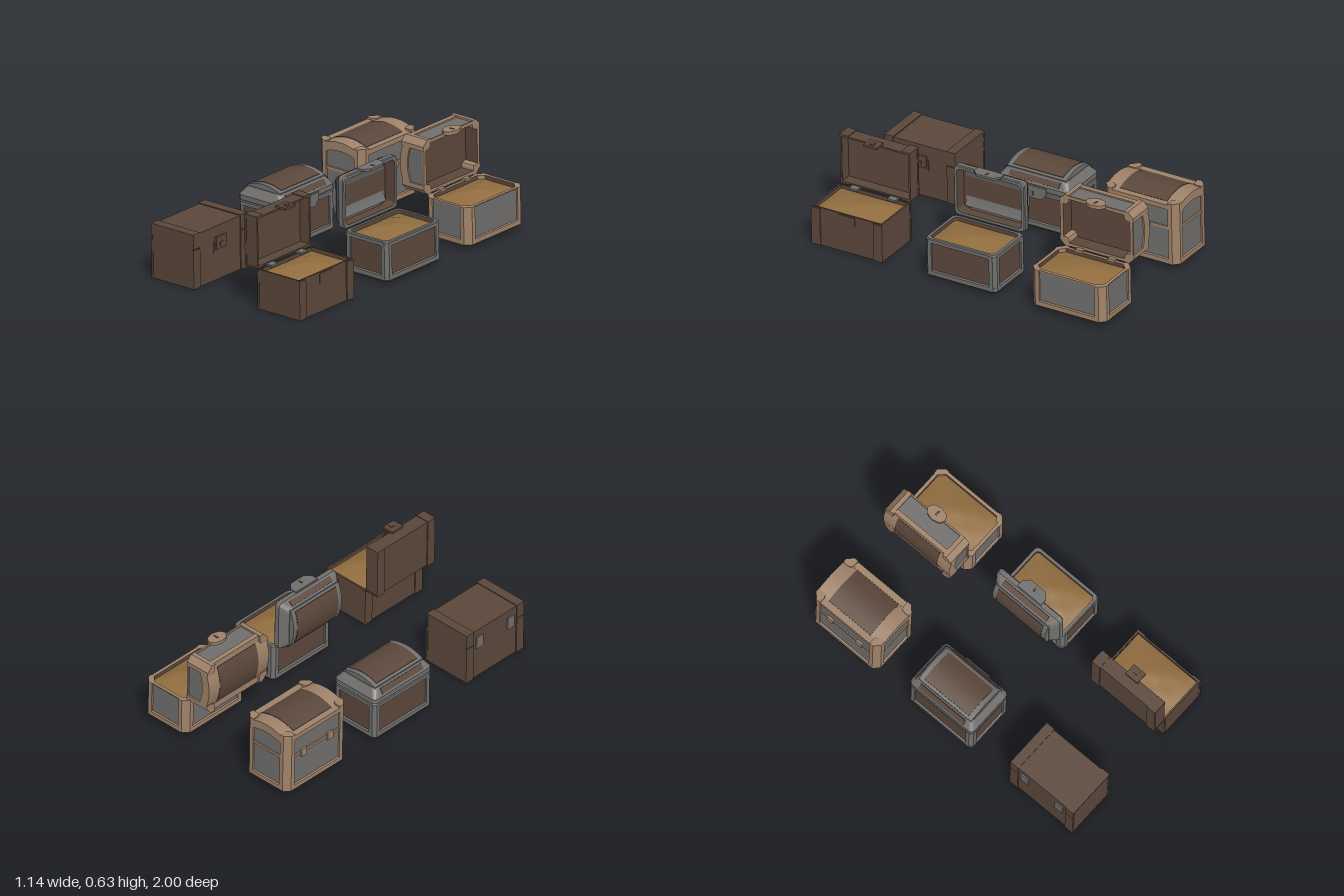
import * as THREE from 'three';

const mat = (name, color) => {
  const m = new THREE.MeshStandardMaterial({ color });
  m.name = name;
  return m;
};

// Rounded rectangle ring at height y; n = segments per corner
function ring(hx, hz, c, y, n = 1) {
  const pts = [];
  [[1, 1], [-1, 1], [-1, -1], [1, -1]].forEach(([sx, sz], k) => {
    for (let i = 0; i <= n; i++) {
      const a = (k + i / n) * Math.PI / 2;
      pts.push([sx * (hx - c) + c * Math.cos(a), y, sz * (hz - c) + c * Math.sin(a)]);
    }
  });
  return pts;
}

// Skin through rings, with optional end caps, faceted
function loft(rings, capStart = false, capEnd = false) {
  const pos = [], n = rings[0].length;
  const tri = (...p) => p.forEach(v => pos.push(...v));
  for (let j = 0; j < n; j++) {
    const k = (j + 1) % n;
    for (let i = 0; i + 1 < rings.length; i++) {
      const [p, q] = [rings[i], rings[i + 1]];
      tri(p[j], q[j], p[k]);
      tri(p[k], q[j], q[k]);
    }
    const first = rings[0], last = rings[rings.length - 1];
    if (capStart) tri([0, first[0][1], 0], first[j], first[k]);
    if (capEnd) tri([0, last[0][1], 0], last[k], last[j]);
  }
  const g = new THREE.BufferGeometry();
  g.setAttribute('position', new THREE.Float32BufferAttribute(pos, 3));
  g.computeVertexNormals();
  return g;
}

// Arched slab running along z; its top is a parabola of half width W
function archSlab(w, W, edge, peak, thick, length) {
  const pts = [], f = x => peak - (peak - edge) * (x / W) ** 2;
  for (let i = 0; i <= 10; i++) { const x = w * (1 - i / 5); pts.push(new THREE.Vector2(x, f(x))); }
  for (let i = 0; i <= 10; i++) { const x = w * (i / 5 - 1); pts.push(new THREE.Vector2(x, f(x) - thick)); }
  return new THREE.ExtrudeGeometry(new THREE.Shape(pts), { depth: length, bevelEnabled: false })
    .translate(0, 0, -length / 2);
}

// Flat plate facing +x from [z, y] corners
const plate = (pts, depth) => new THREE.ExtrudeGeometry(
  new THREE.Shape(pts.map(p => new THREE.Vector2(...p))), { depth, bevelEnabled: false }).rotateY(Math.PI / 2);

function add(parent, name, geo, material, x = 0, y = 0, z = 0) {
  const m = new THREE.Mesh(geo, material);
  m.name = name;
  m.position.set(x, y, z);
  parent.add(m);
  return m;
}
const box = (parent, name, material, size, x, y, z) =>
  add(parent, name, new THREE.BoxGeometry(...size), material, x, y, z);

// Four chamfered corner posts
function posts(parent, material, hx, hz, c, leg, t, y0, y1) {
  for (const sx of [1, -1]) for (const sz of [1, -1]) {
    const pts = [[hx - leg, hz], [hx - c, hz], [hx, hz - c], [hx, hz - leg], [hx - t, hz - leg], [hx - c - t / 2, hz - c - t / 2], [hx - leg, hz - t]];
    const s = new THREE.Shape(pts.map(([x, z]) => new THREE.Vector2(x * sx, z * sz)));
    add(parent, 'cornerPost', new THREE.ExtrudeGeometry(s, { depth: y1 - y0, bevelEnabled: false })
      .rotateX(-Math.PI / 2), material, 0, y0, 0);
  }
}

// Lumpy heap of coins filling the base
function heap(parent, material, hx, hz, H) {
  const g = new THREE.PlaneGeometry(2 * hx, 2 * hz, 12, 16).rotateX(-Math.PI / 2);
  const p = g.attributes.position;
  for (let i = 0; i < p.count; i++) {
    const u = p.getX(i) / hx, v = p.getZ(i) / hz;
    const dome = (1 - u * u) * (1 - v * v);
    p.setY(i, H - 0.025 + dome * (0.032 + 0.006 * Math.sin(5 * u + 1) * Math.cos(6 * v)));
  }
  g.computeVertexNormals();
  add(parent, 'treasure', g, material);
}

export function createModel() {
  const wood = mat('wood', 0x5c483c), steel = mat('steel', 0x71706f);
  const bronze = mat('bronze', 0xa0836a), gold = mat('gold', 0x926e40);
  const root = new THREE.Group();
  root.name = 'chestSet';

  // Wooden box chest
  const wooden = {
    name: 'woodenChest', hx: 0.16, hz: 0.24, H: 0.245, z: 0.747, wall: 0.015,
    base(g) {
      add(g, 'baseShell', loft([ring(0.153, 0.237, 0.001, 0), ring(0.153, 0.237, 0.001, 0.245),
        ring(0.143, 0.226, 0.001, 0.245)], true), wood);
      for (const s of [1, -1]) for (const e of [1, -1])
        box(g, 'baseBand', wood, [0.012, 0.24, 0.06], s * 0.154, 0.12, e * 0.21);
      box(g, 'lockPlate', wood, [0.012, 0.065, 0.11], 0.152, 0.205, 0);
    },
    lid(g) {
      add(g, 'lidShell', loft([ring(0.145, 0.226, 0.001, 0), ring(0.155, 0.237, 0.001, 0),
        ring(0.155, 0.237, 0.001, 0.086)], false, true), wood);
      for (const e of [1, -1]) {
        box(g, 'lidBand', wood, [0.32, 0.012, 0.06], 0, 0.086, e * 0.21);
        for (const s of [1, -1]) box(g, 'lidBandSide', wood, [0.01, 0.09, 0.06], s * 0.155, 0.045, e * 0.21);
        box(g, 'hinge', steel, [0.012, 0.08, 0.055], -0.158, 0, e * 0.13);
      }
      box(g, 'latch', wood, [0.014, 0.075, 0.09], 0.161, -0.016, 0);
      box(g, 'latchBoss', wood, [0.008, 0.025, 0.03], 0.169, -0.025, 0);
    },
    ceiling: 0.07,
  };

  // Steel-framed chest with wooden panels
  const framed = {
    name: 'steelChest', hx: 0.163, hz: 0.24, H: 0.25, z: -0.024, wall: 0.022,
    base(g) {
      const r = (dx, y) => ring(0.163 - dx, 0.24 - dx, 0.028, y, 3);
      add(g, 'panels', loft([r(0.01, 0.001), r(0.01, 0.23)], true), wood);
      add(g, 'bottomRail', loft([r(0.02, 0), r(0.012, 0), r(0, 0.014), r(0, 0.04), r(0.01, 0.045)]), steel);
      add(g, 'topRail', loft([r(0.01, 0.218), r(0, 0.223), r(0, 0.244), r(0.005, 0.25), r(0.022, 0.25)]), steel);
      posts(g, steel, 0.163, 0.24, 0.02, 0.045, 0.012, 0.02, 0.24);
    },
    lid(g) {
      const r = (dx, y) => ring(0.163 - dx, 0.24 - dx, 0.028, y, 3);
      add(g, 'lidShell', loft([r(0.022, 0), r(0.005, 0), r(0, 0.006), r(0, 0.035), r(0.036, 0.085)], false, true), steel);
      add(g, 'lidTop', archSlab(0.124, 0.124, 0.09, 0.118, 0.035, 0.4), steel);
      add(g, 'topPanel', archSlab(0.108, 0.124, 0.093, 0.121, 0.006, 0.34), wood);
      for (const s of [1, -1]) {
        box(g, 'slopePanel', wood, [0.007, 0.036, 0.34], s * 0.146, 0.061, 0).rotation.z = s * 0.62;
      }
      add(g, 'latch', plate([[-0.09, 0.028], [0.09, 0.028], [0.09, -0.015], [0.055, -0.05], [-0.055, -0.05], [-0.09, -0.015]], 0.014), steel, 0.158);
      box(g, 'keyhole', wood, [0.004, 0.025, 0.012], 0.173, -0.02, 0);
    },
    ceiling: 0.075,
  };

  // Bronze-framed chest with steel panels and an arched lid
  const arched = {
    name: 'bronzeChest', hx: 0.167, hz: 0.25, H: 0.245, z: -0.75, wall: 0.024,
    base(g) {
      const r = (dx, y) => ring(0.167 - dx, 0.25 - dx, 0.035, y);
      add(g, 'panels', loft([r(0.01, 0.02), r(0.01, 0.24)]), steel);
      add(g, 'bottomRail', loft([r(0.015, 0), r(0, 0.015), r(0, 0.043), r(0.01, 0.047)], true), bronze);
      add(g, 'rim', loft([r(0.01, 0.236), r(0.004, 0.238), r(0.004, 0.245), r(0.024, 0.245)]), bronze);
      posts(g, bronze, 0.167, 0.25, 0.035, 0.062, 0.014, 0.02, 0.245);
    },
    lid(g) {
      const r = (dx, y) => ring(0.167 - dx, 0.25 - dx, 0.035, y);
      add(g, 'rim', loft([r(0.024, 0), r(0.004, 0), r(0.004, 0.01), r(0.01, 0.012)]), bronze);
      add(g, 'lidPanels', loft([r(0.01, 0.005), r(0.01, 0.135)], false, true), steel);
      add(g, 'archedRoof', archSlab(0.132, 0.132, 0.148, 0.178, 0.055, 0.5), bronze);
      add(g, 'topPanel', archSlab(0.125, 0.132, 0.151, 0.181, 0.006, 0.32), wood);
      for (const s of [1, -1]) {
        box(g, 'eaveRail', bronze, [0.04, 0.03, 0.4], s * 0.146, 0.138, 0);
        box(g, 'hinge', bronze, [0.014, 0.05, 0.045], -0.163, 0, s * 0.11);
      }
      posts(g, bronze, 0.168, 0.25, 0.035, 0.062, 0.04, 0, 0.165);
      const lock = new THREE.CylinderGeometry(1, 1, 0.022, 8).rotateZ(Math.PI / 2).scale(1, 0.045, 0.068);
      add(g, 'lock', lock, bronze, 0.165);
      box(g, 'keyhole', wood, [0.004, 0.03, 0.012], 0.177, -0.005, 0);
    },
    ceiling: 0.088,
  };

  // Closed chests in one row, open ones in the other
  for (const k of [wooden, framed, arched]) for (const open of [false, true]) {
    const { hx, hz, H, wall } = k, chest = new THREE.Group();
    chest.name = k.name + (open ? 'Open' : 'Closed');
    chest.position.set(open ? 0.4 : -0.402, 0, k.z);
    k.base(chest);
    const inner = y => ring(hx - wall, hz - wall, k === wooden ? 0.001 : 0.02, y, k === framed ? 3 : 1);
    add(chest, 'baseLining', loft([inner(H), inner(0.03)], false, true), wood);
    if (open) heap(chest, gold, hx - wall, hz - wall, H);

    const hinge = new THREE.Group(), lid = new THREE.Group();
    hinge.name = 'lidHinge';
    lid.name = 'lid';
    hinge.position.set(-hx, H, 0);
    hinge.rotation.z = open ? Math.PI / 2 : 0;
    lid.position.x = hx;
    k.lid(lid);
    add(lid, 'lidLining', loft([inner(k.ceiling), inner(0)], true), wood);
    hinge.add(lid);
    chest.add(hinge);
    root.add(chest);
  }

  // The whole row leans very slightly
  root.rotation.x = 0.02;
  root.position.y = 0.0198;
  const model = new THREE.Group();
  model.name = 'treasureChests';
  model.add(root);
  return model;
}
